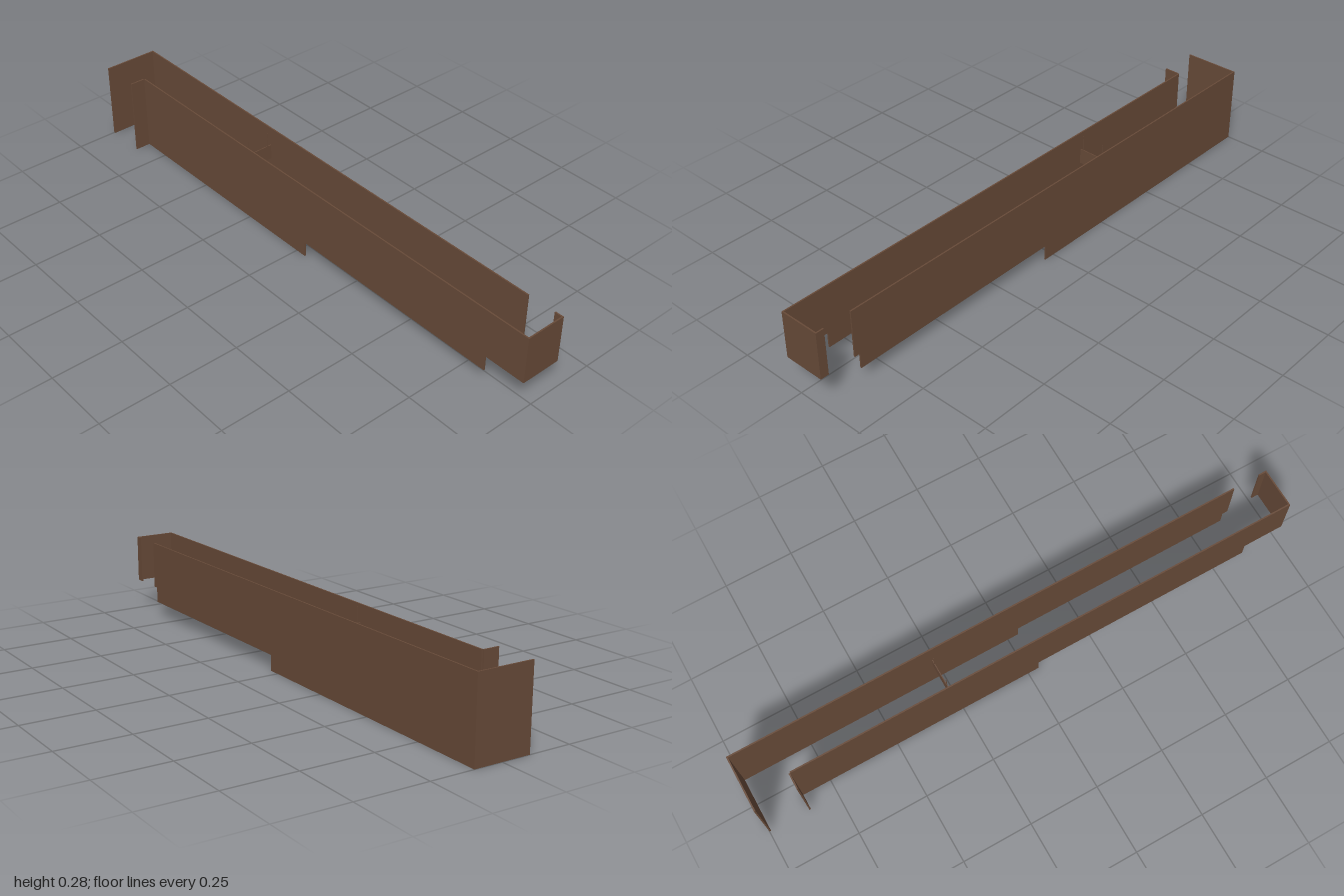
import * as THREE from 'three';

const brown = new THREE.MeshStandardMaterial({ color: 0x674a38 });
brown.name = 'brown';

const T = 0.005; // panel thickness
const TOP = 0.278;

// Box given by its minimum and maximum corners
function panel(name, x0, x1, y0, y1, z0, z1) {
  const mesh = new THREE.Mesh(new THREE.BoxGeometry(x1 - x0, y1 - y0, z1 - z0), brown);
  mesh.position.set((x0 + x1) / 2, (y0 + y1) / 2, (z0 + z1) / 2);
  mesh.name = name;
  return mesh;
}

// Long wall with a stepped lower edge, outlined in z and y and extruded along x
function steppedWall(name, x, back, front) {
  const outline = [
    [back, TOP], [back, 0], [0.04, 0], [0.04, 0.055],
    [0.85, 0.055], [0.85, 0.11], [front, 0.11], [front, TOP],
  ];
  const shape = new THREE.Shape(outline.map(([z, y]) => new THREE.Vector2(-z, y)));
  const geometry = new THREE.ExtrudeGeometry(shape, { depth: T, bevelEnabled: false });
  geometry.rotateY(Math.PI / 2);
  const mesh = new THREE.Mesh(geometry, brown);
  mesh.position.x = x;
  mesh.name = name;
  return mesh;
}

export function createModel() {
  const group = new THREE.Group();
  group.name = 'corridor';

  // Side walls
  group.add(steppedWall('leftWall', 0.094, -1, 0.87));
  group.add(steppedWall('rightWall', -0.046, -0.85, 1));

  // End walls and the short returns beside the openings
  group.add(panel('rearWall', -0.101, 0.094, 0, TOP, -1, -1 + T));
  group.add(panel('rearReturn', -0.101, -0.046, 0, TOP, -0.855, -0.85));
  group.add(panel('frontWall', -0.041, 0.1, 0.11, TOP, 1 - T, 1));
  group.add(panel('frontReturn', 0.095, 0.1, 0.11, TOP, 0.97, 1 - T));

  // Board hung between the walls on two thin rods
  const sign = new THREE.Group();
  sign.name = 'hangingBoard';
  sign.add(panel('board', -0.03, 0.08, 0.17, 0.225, -0.287, -0.284));
  for (const x of [-0.018, 0.065]) {
    sign.add(panel('rod', x - 0.001, x + 0.001, 0.225, TOP, -0.2865, -0.2845));
  }
  group.add(sign);
  return group;
}
